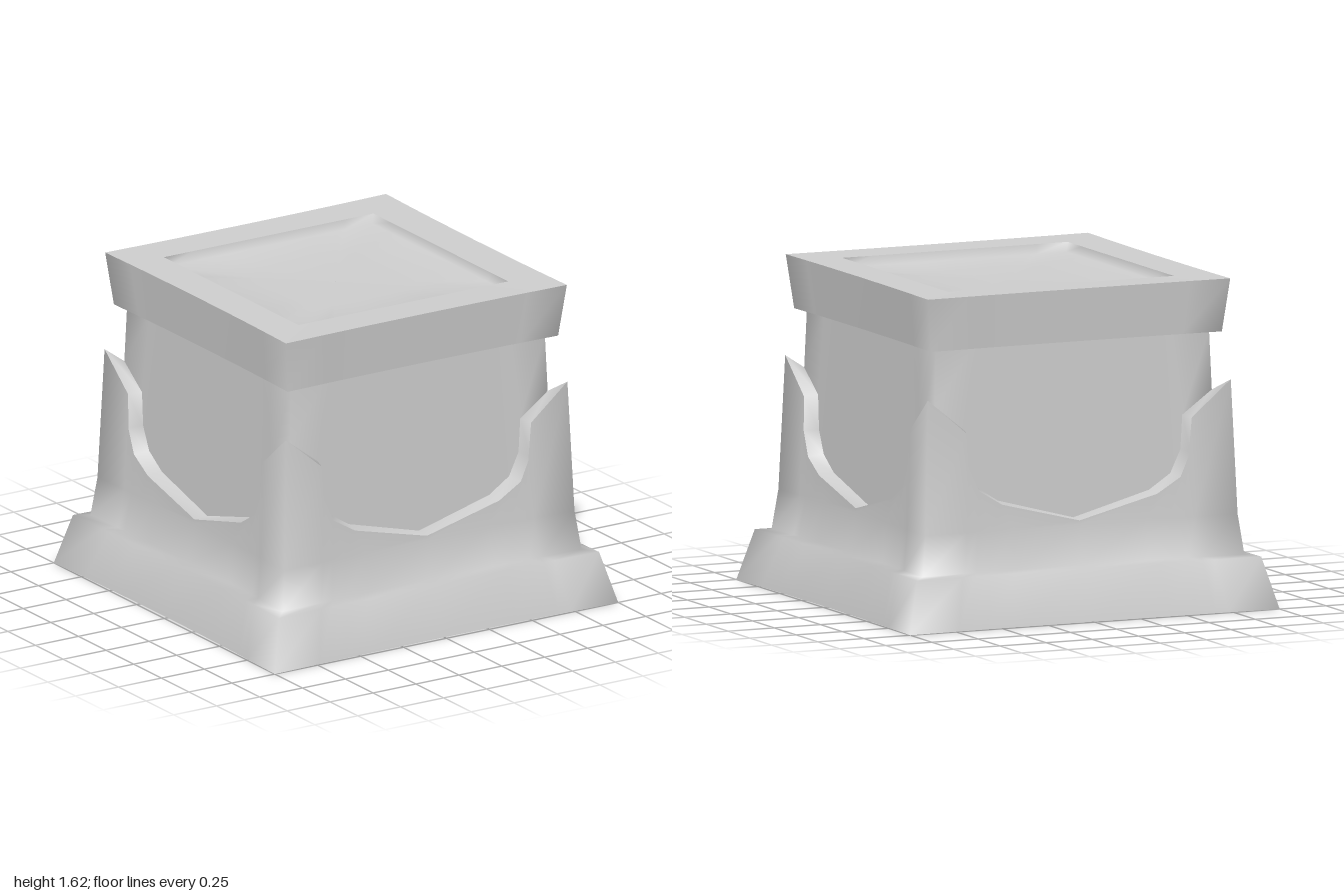
import * as THREE from 'three';

const stone = new THREE.MeshStandardMaterial({ color: 0xcccccc, side: THREE.DoubleSide });
stone.name = 'grey stone';

// Column spread along half a side, and the half curve of the arched cutout.
const SPREAD = [0, 0.42, 0.57, 0.66, 0.73, 1];
const CUT_X = [0, 0.42, 0.545, 0.6, 0.61, 0.82];
const CUT_Y = [0.48, 0.585, 0.66, 0.78, 0.95, 1.125];
const RIM_X = [0, 0.41, 0.525, 0.58, 0.59, 0.75];
const RIM_Y = [0.485, 0.595, 0.67, 0.785, 0.955, 1.07];

// Square loop of points; point(i) gives [x, y, z] for half of the front side.
function loop(point) {
  const pts = [];
  for (let k = 0; k < 4; k++) {
    const c = Math.round(Math.cos(k * Math.PI / 2)), s = Math.round(Math.sin(k * Math.PI / 2));
    for (let i = -5; i < 5; i++) {
      const [hx, y, z] = point(Math.abs(i));
      const x = i < 0 ? -hx : hx;
      pts.push([x * c + z * s, y, z * c - x * s]);
    }
  }
  return pts;
}

// Level square, drawn in slightly at the middle of each side.
const square = (half, y, pinch = 0) =>
  loop(i => [SPREAD[i] * half, y, half - pinch * (1 - SPREAD[i] ** 2)]);

// Smooth sheet through loops ordered from bottom to top, outside facing out.
function sheet(name, loops) {
  const n = loops[0].length, index = [];
  for (let r = 0; r < loops.length - 1; r++) {
    for (let i = 0; i < n; i++) {
      const a = r * n + i, b = r * n + (i + 1) % n;
      index.push(a, b, b + n, a, b + n, a + n);
    }
  }
  const geo = new THREE.BufferGeometry();
  geo.setAttribute('position', new THREE.Float32BufferAttribute(loops.flat(2), 3));
  geo.setIndex(index);
  geo.computeVertexNormals();
  const mesh = new THREE.Mesh(geo, stone);
  mesh.name = name;
  return mesh;
}

export function createModel() {
  const group = new THREE.Group();
  group.name = 'pedestal';

  // Top edge of the outer shell and the matching edge on the recessed body
  const cut = loop(i => {
    const half = 0.845 - 0.025 * (CUT_Y[i] - 0.46) / 0.665;
    if (i === 5) return [half, CUT_Y[i], half];
    return [CUT_X[i], CUT_Y[i], half - 0.02 * (1 - (CUT_X[i] / half) ** 2)];
  });
  const rim = loop(i => [RIM_X[i], RIM_Y[i], 0.75]);

  // Flared foot running smoothly up into the shell with corner posts
  group.add(sheet('footAndShell', [
    square(1, 0, 0.02), square(0.932, 0.255, 0.018), square(0.87, 0.262, 0.018),
    square(0.845, 0.46, 0.02), cut,
  ]));

  // Thickness of the cutouts
  group.add(sheet('cutoutRim', [cut, rim]));

  // Recessed panels and body corners
  group.add(sheet('body', [rim, square(0.74, 1.362)]));

  // Cap slab
  group.add(sheet('capUnderside', [square(0.738, 1.362), square(0.787, 1.36, 0.012)]));
  group.add(sheet('capSides', [square(0.787, 1.36, 0.012), square(0.818, 1.625, 0.012)]));
  group.add(sheet('capBorder', [square(0.818, 1.625, 0.012), square(0.61, 1.622)]));

  // Shallow dished top
  group.add(sheet('capDish', [
    square(0.61, 1.622), square(0.598, 1.575), square(0.3, 1.565), square(0.001, 1.56),
  ]));

  return group;
}
